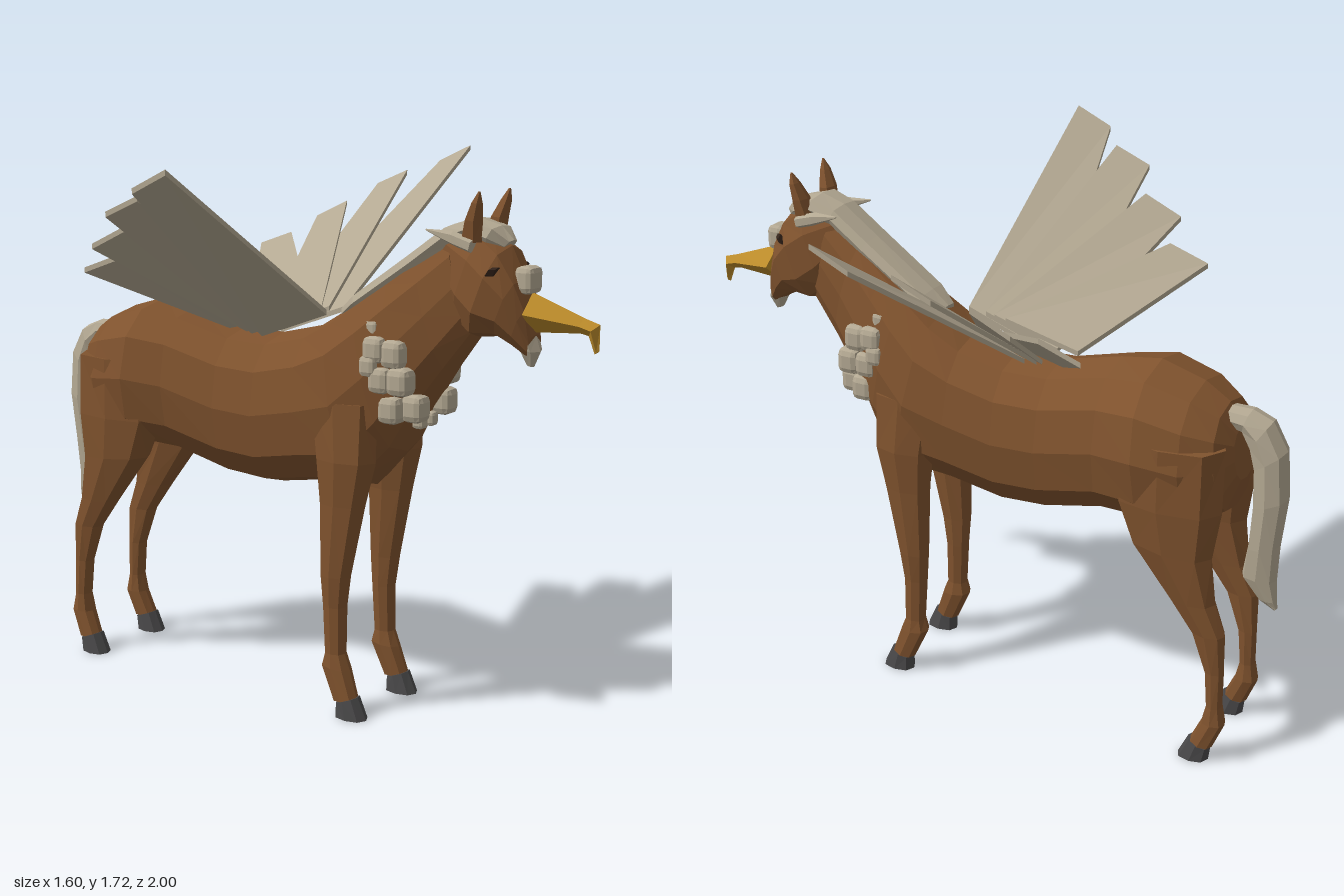
import * as THREE from 'three';
import { RoundedBoxGeometry } from 'three/addons/geometries/RoundedBoxGeometry.js';

const material = (name, color) => {
  const m = new THREE.MeshStandardMaterial({ color });
  m.name = name;
  return m;
};

// Faceted copy of a geometry, with every face turned outward
function faceted(geometry) {
  const g = geometry.index ? geometry.toNonIndexed() : geometry;
  const p = g.attributes.position;
  const a = new THREE.Vector3(), b = new THREE.Vector3(), c = new THREE.Vector3();
  let volume = 0;
  for (let i = 0; i < p.count; i += 3) {
    a.fromBufferAttribute(p, i);
    b.fromBufferAttribute(p, i + 1);
    c.fromBufferAttribute(p, i + 2);
    volume += a.dot(b.cross(c));
  }
  if (volume < 0) {
    for (let i = 0; i < p.count; i += 3) {
      b.fromBufferAttribute(p, i + 1);
      c.fromBufferAttribute(p, i + 2);
      p.setXYZ(i + 1, c.x, c.y, c.z);
      p.setXYZ(i + 2, b.x, b.y, b.z);
    }
  }
  g.computeVertexNormals();
  return g;
}

// Closed skin over rings of [topZ, topY, bottomZ, bottomY, halfWidth, centreX]
function loft(rings, sides = 10, side = 1, power = 0.85) {
  const pos = [], index = [];
  const bulge = (v) => Math.sign(v) * Math.pow(Math.abs(v), power);
  for (const [tz, ty, bz, by, hw, cx = 0] of rings) {
    for (let i = 0; i < sides; i++) {
      const t = (i / sides) * Math.PI * 2;
      const k = bulge(Math.cos(t)) / 2;
      pos.push(side * (cx + bulge(Math.sin(t)) * hw),
        (ty + by) / 2 + (ty - by) * k, (tz + bz) / 2 + (tz - bz) * k);
    }
  }
  const last = (rings.length - 1) * sides;
  for (let r = 0; r < last; r += sides) {
    for (let i = 0; i < sides; i++) {
      const j = (i + 1) % sides;
      index.push(r + i, r + j, r + sides + i, r + j, r + sides + j, r + sides + i);
    }
  }
  for (let i = 1; i < sides - 1; i++) {
    index.push(0, i + 1, i, last, last + i, last + i + 1);
  }
  const g = new THREE.BufferGeometry();
  g.setAttribute('position', new THREE.Float32BufferAttribute(pos, 3));
  g.setIndex(index);
  return faceted(g);
}

// Flat tapered plate between a root edge and a tip edge
function feather(rootFront, rootBack, tipFront, tipBack, side) {
  const g = new THREE.BoxGeometry(1, 1, 1);
  const p = g.attributes.position;
  const [rf, rb, tf, tb] = [rootFront, rootBack, tipFront, tipBack].map((v) => new THREE.Vector3(...v));
  for (let i = 0; i < p.count; i++) {
    const u = p.getX(i) + 0.5, v = 0.5 - p.getZ(i);
    const q = rf.clone().lerp(rb, v).lerp(tf.clone().lerp(tb, v), u);
    p.setXYZ(i, side * q.x, q.y + p.getY(i) * 0.016, q.z);
  }
  return faceted(g);
}

export function createModel() {
  const brown = material('brown coat', 0x80532e);
  const grey = material('pale feather', 0xb3a892);
  const gold = material('golden beak', 0xba8a2a);
  const hoofGrey = material('hoof grey', 0x4b4a4b);
  const dark = material('eye dark', 0x33231a);
  const model = new THREE.Group();
  const add = (name, geometry, mat) => {
    const mesh = new THREE.Mesh(geometry, mat);
    mesh.name = name;
    model.add(mesh);
    return mesh;
  };
  const tuft = (name, x, y, z, w, h, d) => add(name,
    faceted(new RoundedBoxGeometry(w, h, d, 1, Math.min(w, h, d) * 0.3)), grey).position.set(x, y, z);

  // Torso running from rump through chest and up the neck
  add('bodyAndNeck', loft([
    [-0.84, 1.08, -0.865, 0.92, 0.08], [-0.8, 1.15, -0.84, 0.82, 0.16],
    [-0.72, 1.2, -0.74, 0.76, 0.215], [-0.58, 1.24, -0.6, 0.75, 0.235],
    [-0.45, 1.22, -0.45, 0.74, 0.2], [-0.25, 1.17, -0.25, 0.69, 0.185],
    [-0.1, 1.165, -0.1, 0.68, 0.185], [0.05, 1.2, 0.08, 0.71, 0.19],
    [0.15, 1.26, 0.26, 0.72, 0.195], [0.24, 1.32, 0.37, 0.84, 0.17],
    [0.33, 1.38, 0.44, 0.97, 0.14], [0.43, 1.45, 0.53, 1.1, 0.105],
    [0.53, 1.52, 0.62, 1.22, 0.085],
  ], 12), brown);

  // Head
  add('head', loft([
    [0.54, 1.54, 0.48, 1.38, 0.06], [0.65, 1.535, 0.55, 1.26, 0.1],
    [0.715, 1.49, 0.61, 1.215, 0.115], [0.76, 1.4, 0.69, 1.225, 0.095],
    [0.785, 1.32, 0.74, 1.2, 0.07], [0.8, 1.24, 0.785, 1.17, 0.04],
  ]), brown);
  add('beak', loft([
    [0.785, 1.36, 0.79, 1.245, 0.068], [0.95, 1.3, 0.94, 1.255, 0.025],
    [1.0, 1.285, 0.965, 1.25, 0.025], [1.0, 1.21, 0.985, 1.2, 0.006],
  ], 4, 1, 1), gold);
  tuft('noseTuft', 0, 1.395, 0.77, 0.08, 0.08, 0.06);
  add('chinTuft', loft([
    [0.8, 1.235, 0.73, 1.235, 0.05], [0.815, 1.19, 0.75, 1.2, 0.04], [0.795, 1.145, 0.775, 1.15, 0.015],
  ], 6), grey);

  // Mane and forelock
  add('mane', loft([
    [0.145, 1.27, 0.16, 1.23, 0.045], [0.2, 1.315, 0.225, 1.265, 0.075],
    [0.4, 1.455, 0.43, 1.4, 0.075], [0.52, 1.54, 0.54, 1.48, 0.075],
    [0.6, 1.565, 0.6, 1.5, 0.085], [0.68, 1.545, 0.655, 1.48, 0.07],
    [0.72, 1.505, 0.69, 1.47, 0.03],
  ], 8, 1, 0.7), grey);

  // Tail
  add('tail', loft([
    [-0.79, 1.14, -0.79, 1.08, 0.045], [-0.87, 1.14, -0.85, 1.07, 0.05],
    [-0.935, 1.115, -0.875, 1.02, 0.058], [-0.985, 1.03, -0.888, 0.96, 0.06],
    [-1.0, 0.88, -0.892, 0.84, 0.06], [-0.985, 0.72, -0.885, 0.7, 0.05],
    [-0.982, 0.6, -0.872, 0.6, 0.038], [-0.988, 0.53, -0.93, 0.53, 0.022],
    [-0.99, 0.505, -0.98, 0.5, 0.008],
  ], 8), grey);

  const feathers = [
    [[0.05, 1.25, 0.1], [0.05, 1.16, -0.15], [0.8, 1.715, 0.1], [0.8, 1.66, -0.02]],
    [[0.05, 1.245, 0.04], [0.05, 1.165, -0.19], [0.7, 1.63, -0.09], [0.7, 1.58, -0.21]],
    [[0.05, 1.24, 0.01], [0.05, 1.17, -0.21], [0.575, 1.525, -0.255], [0.575, 1.468, -0.38]],
    [[0.05, 1.235, -0.03], [0.05, 1.175, -0.28], [0.45, 1.42, -0.4], [0.45, 1.375, -0.53]],
  ];
  // Chest feather clumps: x, y, z, size
  const clumps = [
    [0.12, 1.23, 0.32, 0.05], [0.135, 1.17, 0.34, 0.08], [0.125, 1.16, 0.4, 0.085],
    [0.13, 1.08, 0.425, 0.085], [0.135, 1.08, 0.36, 0.08], [0.145, 1.12, 0.325, 0.065],
    [0.08, 0.995, 0.445, 0.085], [0.115, 0.99, 0.385, 0.085], [0.03, 0.945, 0.43, 0.045],
  ];

  for (const [side, label] of [[1, 'left'], [-1, 'right']]) {
    // Legs and hooves
    add(label + 'FrontLeg', loft([
      [0.34, 1.0, 0.1, 1.0, 0.07, 0.12], [0.335, 0.82, 0.13, 0.82, 0.07, 0.13],
      [0.3, 0.68, 0.145, 0.68, 0.054, 0.135], [0.25, 0.45, 0.152, 0.45, 0.041, 0.14],
      [0.235, 0.35, 0.16, 0.35, 0.035, 0.138], [0.235, 0.2, 0.168, 0.2, 0.031, 0.14],
      [0.255, 0.15, 0.155, 0.16, 0.037, 0.14], [0.285, 0.06, 0.205, 0.05, 0.034, 0.145],
    ], 8, side), brown);
    add(label + 'FrontHoof', loft([
      [0.288, 0.07, 0.215, 0.045, 0.035, 0.145], [0.32, 0, 0.21, 0, 0.039, 0.145],
    ], 8, side), hoofGrey);
    add(label + 'HindLeg', loft([
      [-0.5, 1.05, -0.84, 1.05, 0.1, 0.12], [-0.5, 0.85, -0.845, 0.85, 0.085, 0.135],
      [-0.56, 0.72, -0.825, 0.7, 0.07, 0.14], [-0.7, 0.55, -0.845, 0.55, 0.05, 0.14],
      [-0.775, 0.45, -0.882, 0.45, 0.038, 0.14], [-0.825, 0.32, -0.885, 0.32, 0.03, 0.138],
      [-0.838, 0.2, -0.886, 0.2, 0.03, 0.14], [-0.825, 0.14, -0.9, 0.14, 0.036, 0.14],
      [-0.79, 0.06, -0.865, 0.05, 0.034, 0.145],
    ], 8, side), brown);
    add(label + 'HindHoof', loft([
      [-0.787, 0.07, -0.86, 0.045, 0.035, 0.145], [-0.755, 0, -0.855, 0, 0.039, 0.145],
    ], 8, side), hoofGrey);

    // Ear, swept tuft behind it, and eye
    add(label + 'Ear', loft([
      [0.655, 1.5, 0.585, 1.5, 0.028, 0.07], [0.655, 1.56, 0.605, 1.565, 0.032, 0.075],
      [0.66, 1.61, 0.63, 1.615, 0.02, 0.085], [0.657, 1.645, 0.65, 1.645, 0.003, 0.088],
    ], 6, side), brown);
    add(label + 'EarTuft', loft([
      [0.64, 1.51, 0.63, 1.47, 0.022, 0.09], [0.57, 1.53, 0.58, 1.485, 0.02, 0.09],
      [0.485, 1.532, 0.487, 1.526, 0.003, 0.1],
    ], 6, side), grey);
    add(label + 'Eye', loft([
      [0.72, 1.435, 0.705, 1.405, 0.018, 0.085], [0.705, 1.435, 0.685, 1.405, 0.018, 0.095],
    ], 6, side), dark);

    feathers.forEach((f, i) => add(`${label}WingFeather${i + 1}`, feather(...f, side), grey));
    clumps.forEach(([x, y, z, s], i) => tuft(`${label}ChestClump${i + 1}`, side * x, y, z, s * 0.85, s, s * 0.9));
  }
  return model;
}
